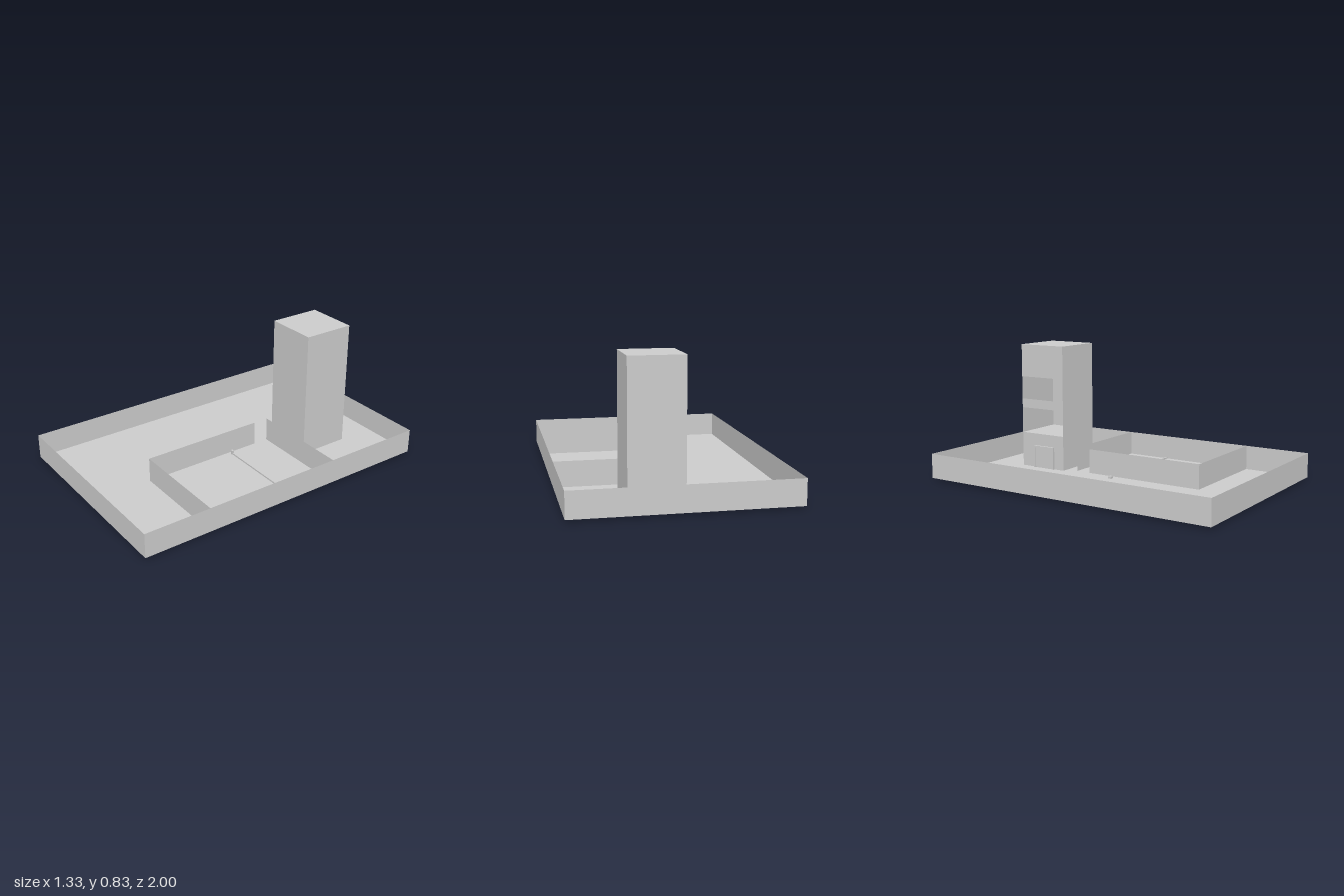
import * as THREE from 'three';

const grey = new THREE.MeshStandardMaterial({ color: 0xcccccc, side: THREE.DoubleSide, flatShading: true });

export function createModel() {
  const model = new THREE.Group();
  const W = 0.665, L = 1, FLOOR = 0.012, TOP = 0.17;

  // Box given by its lower and upper limits on each axis
  function box(name, [x0, x1], [y0, y1], [z0, z1], parent = model) {
    const mesh = new THREE.Mesh(new THREE.BoxGeometry(x1 - x0, y1 - y0, z1 - z0), grey);
    mesh.position.set((x0 + x1) / 2, (y0 + y1) / 2, (z0 + z1) / 2);
    mesh.name = name;
    parent.add(mesh);
  }

  // Paper-thin upright panel between two ground points
  function panel(name, [xa, za], [xb, zb], y0 = FLOOR, y1 = TOP, parent = model) {
    const geo = new THREE.PlaneGeometry(Math.hypot(xb - xa, zb - za), y1 - y0);
    geo.rotateY(-Math.atan2(zb - za, xb - xa));
    const mesh = new THREE.Mesh(geo, grey);
    mesh.position.set((xa + xb) / 2, (y0 + y1) / 2, (za + zb) / 2);
    mesh.name = name;
    parent.add(mesh);
  }

  // Thin level sheet
  function sheet(name, [x0, x1], y, [z0, z1], parent = model) {
    const mesh = new THREE.Mesh(new THREE.PlaneGeometry(x1 - x0, z1 - z0).rotateX(-Math.PI / 2), grey);
    mesh.position.set((x0 + x1) / 2, y, (z0 + z1) / 2);
    mesh.name = name;
    parent.add(mesh);
  }

  // Ground and outer walls
  sheet('groundFloor', [-W, W], FLOOR, [-L, L]);
  panel('frontWall', [-W, L], [W, L]);
  panel('backWall', [W, -L], [-W, -L]);
  panel('rightWall', [-W, -L], [-W, L]);
  panel('leftWallFront', [W, L], [W, 0.57]);
  panel('leftWallBack', [W, 0.57], [W, -L]);

  // Inner room with a doorway at its back corner
  panel('roomFrontWall', [0, 0.57], [W, 0.57]);
  panel('roomSideWall', [0, -0.24], [0, 0.57]);
  panel('roomBackWall', [0, -0.34], [W, -0.34]);

  // Low rail across the room, with a knob on each side of the wall
  box('floorRail', [0.03, W], [FLOOR, 0.022], [-0.047, -0.037]);
  box('innerKnob', [0.02, 0.036], [0.008, 0.04], [-0.047, -0.033]);
  box('outerKnob', [-0.062, -0.038], [0, 0.026], [-0.053, -0.031]);

  // Tower: three closed sides, roof, and one side with two full-width openings
  const tower = new THREE.Group();
  tower.name = 'tower';
  model.add(tower);
  const x0 = -0.045, x1 = 0.292, z0 = -0.757, z1 = -0.42, H = 0.835;
  panel('towerFront', [x0, z1], [x1, z1], FLOOR, H, tower);
  panel('towerLeft', [x1, z1], [x1, z0], FLOOR, H, tower);
  panel('towerBack', [x1, z0], [x0, z0], FLOOR, H, tower);
  sheet('towerRoof', [x0, x1], H, [z0, z1], tower);
  sheet('towerUpperFloor', [x0, x1], 0.24, [z0, z1], tower);
  for (const [a, b] of [[FLOOR, 0.24], [0.41, 0.47], [0.62, H]])
    panel('towerRightBand', [x0, z0], [x0, z1], a, b, tower);

  // Door with its frame on the open side
  const door = new THREE.Group();
  door.name = 'door';
  tower.add(door);
  for (const z of [-0.655, -0.507])
    box('doorPost', [-0.06, x0], [0.006, 0.16], [z, z + 0.012], door);
  box('doorLintel', [-0.06, x0], [0.148, 0.16], [-0.655, -0.495], door);
  box('doorLeaf', [-0.053, x0], [FLOOR, 0.148], [-0.643, -0.507], door);

  return model;
}
